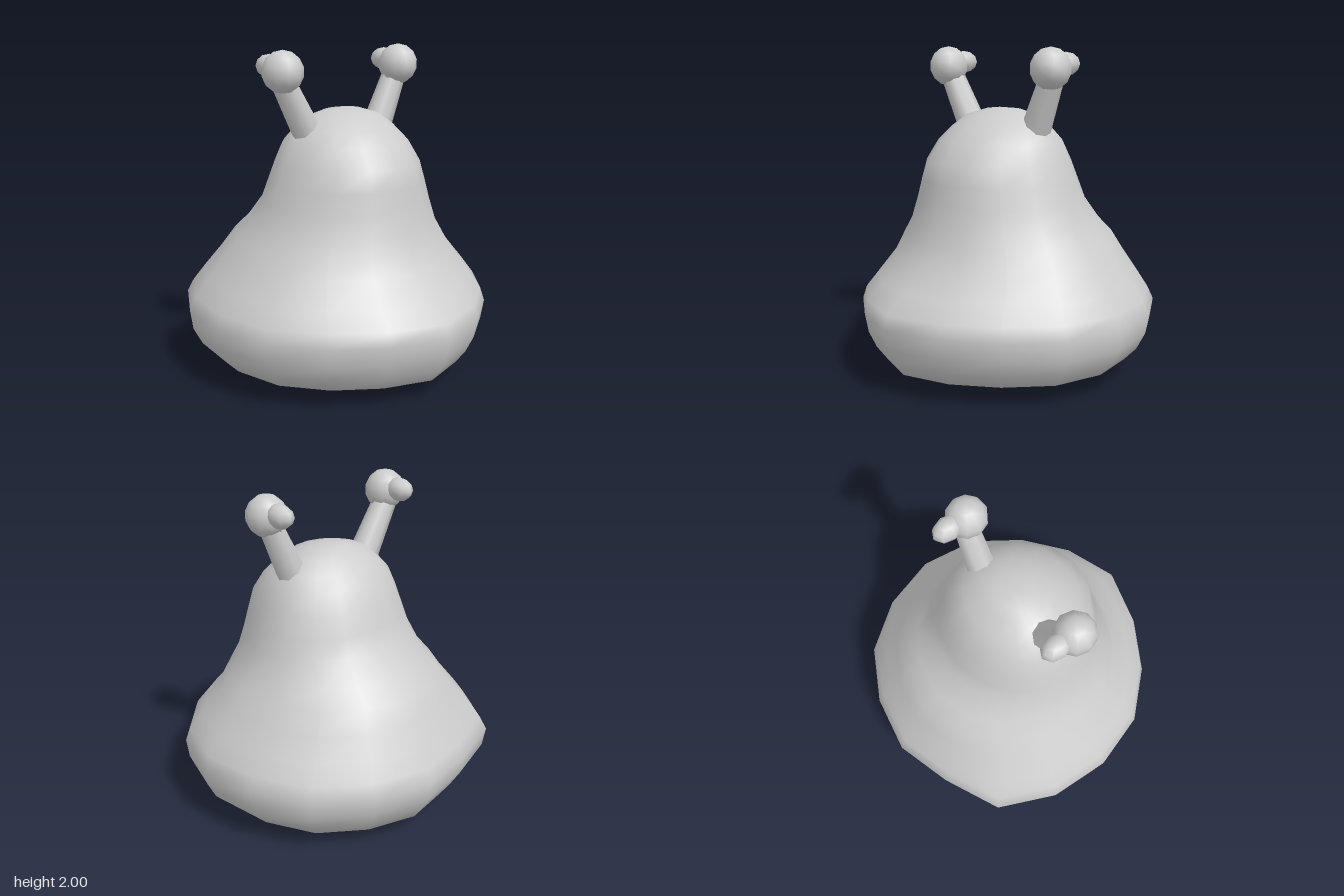
import * as THREE from 'three';

// Closed smooth skin through rings of points listed from bottom to top.
function loft(rings, bottom, top) {
  const n = rings[0].length, pos = [], index = [];
  rings.forEach(ring => ring.forEach(p => pos.push(...p)));
  pos.push(...bottom, ...top);
  const low = rings.length * n, high = low + 1, last = (rings.length - 1) * n;
  for (let i = 0; i < n; i++) {
    const j = (i + 1) % n;
    for (let r = 0; r < rings.length - 1; r++) {
      const a = r * n + i, b = r * n + j, c = a + n, d = b + n;
      index.push(a, c, b, b, c, d);
    }
    index.push(low, i, j, high, last + j, last + i);
  }
  const geo = new THREE.BufferGeometry();
  geo.setAttribute('position', new THREE.Float32BufferAttribute(pos, 3));
  geo.setIndex(index);
  geo.computeVertexNormals();
  return geo;
}

export function createModel() {
  const model = new THREE.Group();
  const skin = new THREE.MeshStandardMaterial({ color: 0xcccccc });
  skin.name = 'pale grey skin';

  const add = (name, geo, parent = model) => {
    const mesh = new THREE.Mesh(geo, skin);
    mesh.name = name;
    parent.add(mesh);
    return mesh;
  };

  // Body sections: height, half width, reach to the front, reach to the back
  const sections = [
    [0.015, 0.25, 0.28, 0.20], [0.05, 0.52, 0.55, 0.52], [0.12, 0.80, 0.82, 0.82],
    [0.20, 0.88, 0.88, 0.87], [0.30, 0.93, 0.93, 0.93], [0.42, 0.945, 0.955, 0.95],
    [0.50, 0.91, 0.93, 0.91], [0.60, 0.84, 0.82, 0.85], [0.74, 0.73, 0.68, 0.77],
    [0.86, 0.65, 0.62, 0.70], [0.95, 0.58, 0.585, 0.60], [1.08, 0.53, 0.55, 0.47],
    [1.20, 0.49, 0.53, 0.42], [1.32, 0.45, 0.505, 0.37], [1.44, 0.40, 0.41, 0.31],
    [1.52, 0.33, 0.32, 0.24], [1.59, 0.24, 0.22, 0.15], [1.625, 0.12, 0.11, 0.08],
  ];
  // Uneven outline of the skirt, from +x round through +z; fades out towards the head
  const outline = [1, 0.99, 0.95, 0.96, 1, 0.95, 0.95, 0.985, 1, 1.03, 1.07, 0.985, 1, 0.985, 1, 0.99];
  const rings = sections.map(([y, w, front, back]) => {
    const fade = THREE.MathUtils.smoothstep(1.1 - y, 0, 0.7);
    return outline.map((o, i) => {
      const a = (i / outline.length) * Math.PI * 2;
      const s = 1 + (o - 1) * fade;
      return [Math.cos(a) * w * s, y, Math.sin(a) * (Math.sin(a) > 0 ? front : back) * s];
    });
  });
  add('body', loft(rings, [0, 0.002, 0.05], [-0.02, 1.635, 0.02]));

  // Eye stalks, each with a ball and a small knob behind it
  for (const [side, name, eyeX] of [[1, 'left', 0.42], [-1, 'right', -0.47]]) {
    const eye = new THREE.Group();
    eye.name = name + 'EyeStalk';
    model.add(eye);

    const from = new THREE.Vector3(side * 0.265, 1.48, 0.01);
    const to = new THREE.Vector3(eyeX, 1.84, 0.02);
    const dir = to.clone().sub(from);
    const stalk = add('stalk', new THREE.CylinderGeometry(0.072, 0.092, dir.length(), 8), eye);
    stalk.position.copy(from).addScaledVector(dir, 0.5);
    stalk.quaternion.setFromUnitVectors(new THREE.Vector3(0, 1, 0), dir.normalize());

    const ball = add('eyeball', new THREE.SphereGeometry(1, 10, 7), eye);
    ball.scale.set(0.122, 0.125, 0.125);
    ball.position.set(eyeX, 1.875, 0.04);

    const knob = add('knob', new THREE.SphereGeometry(1, 8, 6), eye);
    knob.scale.set(0.07, 0.07, 0.1);
    knob.position.set(eyeX, 1.9, -0.09);
  }
  return model;
}
